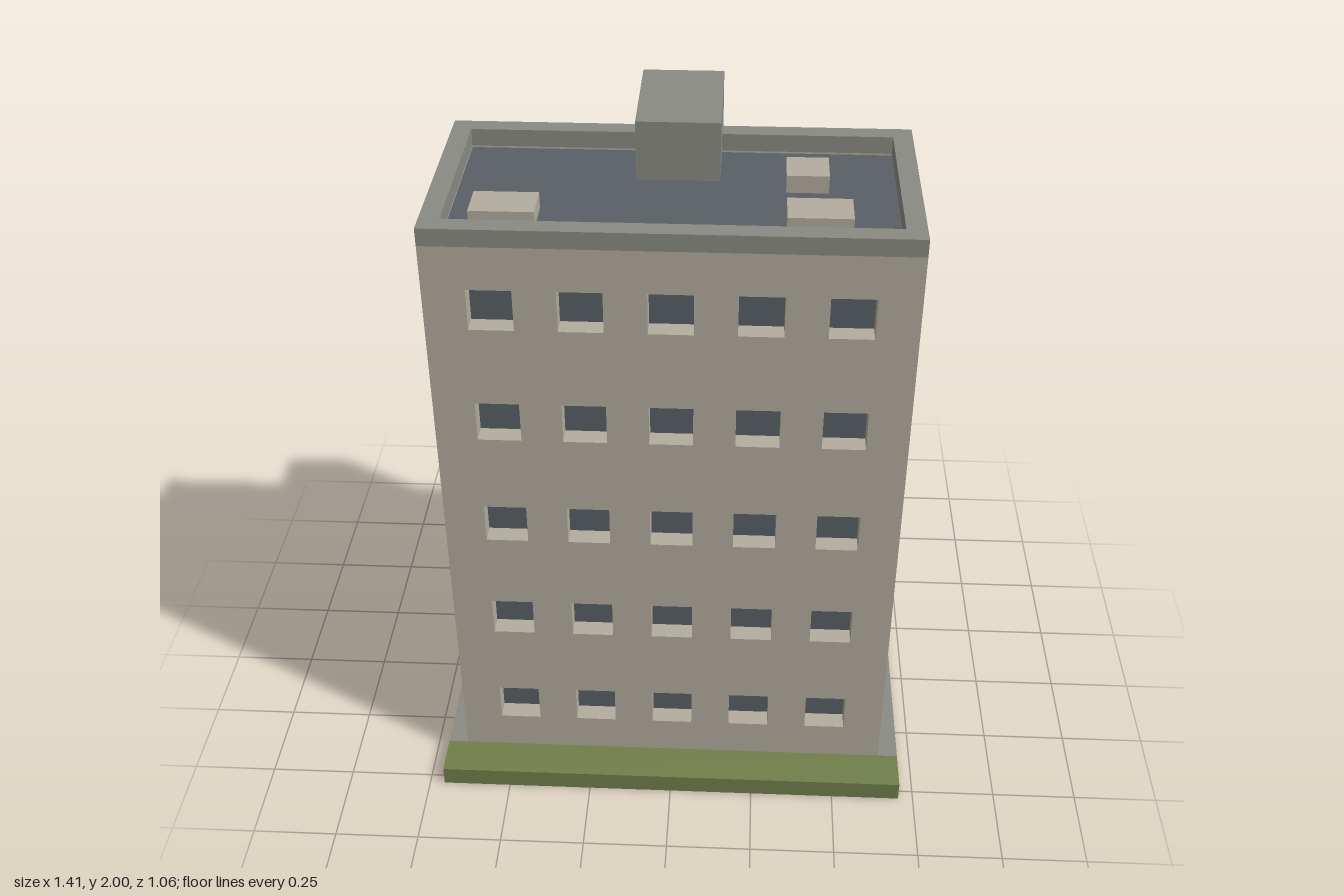
import * as THREE from 'three';

const mat = (name, color) => {
  const m = new THREE.MeshStandardMaterial({ color });
  m.name = name;
  return m;
};

export function createModel() {
  const plaster = mat('plaster', 0xb3ad9e);
  const concrete = mat('concrete', 0x8a8b83);
  const slate = mat('slate', 0x596066);
  const grass = mat('grass', 0x707e49);
  const soot = mat('soot', 0x222222);
  const model = new THREE.Group();

  // Box given by its min and max on each axis
  function box(name, material, x0, x1, y0, y1, z0, z1, parent = model) {
    const mesh = new THREE.Mesh(new THREE.BoxGeometry(x1 - x0, y1 - y0, z1 - z0), material);
    mesh.name = name;
    mesh.position.set((x0 + x1) / 2, (y0 + y1) / 2, (z0 + z1) / 2);
    parent.add(mesh);
    return mesh;
  }

  // Upright panel with rectangular holes [x0, x1, y0, y1]; its outer face lies at distance dist
  function wall(name, material, x0, x1, y0, y1, holes, dist, angle, depth) {
    const rect = (P, a, b, c, d) => {
      const p = new P();
      p.moveTo(a, c); p.lineTo(b, c); p.lineTo(b, d); p.lineTo(a, d); p.closePath();
      return p;
    };
    const shape = rect(THREE.Shape, x0, x1, y0, y1);
    for (const h of holes) shape.holes.push(rect(THREE.Path, ...h));
    const geo = new THREE.ExtrudeGeometry(shape, { depth, bevelEnabled: false });
    geo.translate(0, 0, dist - depth);
    geo.rotateY(angle);
    const mesh = new THREE.Mesh(geo, material);
    mesh.name = name;
    model.add(mesh);
  }

  const W = 0.645, FRONT = 0.41, BACK = -0.237, T = 0.055;
  const GROUND = 0.06, EAVE = 1.835, TOP = 1.885, STEP = 0.3525, H = 0.06;
  const floors = [0, 1, 2, 3, 4];
  const sillY = f => 0.18 + f * STEP;

  // Ground slab: paving with a grass strip in front
  box('paving', concrete, -0.705, 0.705, 0, GROUND, -0.53, FRONT);
  box('lawn', grass, -0.705, 0.705, 0, GROUND, FRONT, 0.53);

  // Dark core: seen as glass through the openings and as the flat roof
  box('glassAndRoof', slate, -W + T, W - T, GROUND, 1.83, BACK + T, FRONT - T);

  // Facades with recessed windows
  const windows = (centres, floorList = floors) => floorList.flatMap(f =>
    centres.map(c => [c - H, c + H, sillY(f), sillY(f) + 0.12]));
  wall('frontWall', plaster, -W, W, GROUND, EAVE,
    windows([-0.47, -0.235, 0, 0.235, 0.47]), FRONT, 0, T);
  wall('rightWall', plaster, -FRONT + T, -BACK - T, GROUND, EAVE,
    windows([-0.237, 0.058]), W, Math.PI / 2, T);
  wall('leftWall', plaster, BACK + T, FRONT - T, GROUND, EAVE,
    windows([0.237, -0.058]), W, -Math.PI / 2, T);
  // Back: windows on the ground floor, balcony doors above
  const backX = [-0.47, -0.235, 0.235, 0.47];
  const doors = floors.slice(1).flatMap(f =>
    backX.map(c => [c - H, c + H, sillY(f) - 0.13, sillY(f) + 0.12]));
  wall('backWall', plaster, -W, W, GROUND, EAVE,
    [...windows(backX, [0]), ...doors], -BACK, Math.PI, T);

  // Roof parapet
  box('parapetFront', concrete, -W, W, EAVE, TOP, FRONT - T, FRONT);
  box('parapetBack', concrete, -W, W, EAVE, TOP, BACK, BACK + T);
  for (const s of [-1, 1]) {
    const x = s * (W - T / 2);
    box('parapetSide', concrete, x - T / 2, x + T / 2, EAVE, TOP, BACK + T, FRONT - T);
  }

  // Roof units
  box('roofUnit', plaster, -0.53, -0.357, 1.83, 1.875, 0.177, 0.29);
  box('roofUnit', plaster, 0.293, 0.465, 1.83, 1.875, 0.177, 0.29);
  box('roofUnit', plaster, 0.293, 0.408, 1.83, 1.88, -0.055, 0.06);

  // Stair tower with its windows, entrance and canopy
  const TB = -0.353, TW = 0.115;
  box('towerShaft', concrete, -TW, TW, GROUND, 2, TB + T, BACK);
  box('towerHead', concrete, -TW, TW, 1.83, 2, BACK, 0);
  const towerHoles = floors.slice(1).map(f => [-H, H, sillY(f) - 0.03, sillY(f) + 0.15]);
  wall('towerFace', concrete, -TW, TW, GROUND, 2,
    [[-H, H, GROUND + 0.001, 0.3], ...towerHoles], -TB, Math.PI, T);
  box('towerGlass', slate, -H, H, GROUND, 1.75, TB + T - 0.004, TB + T);
  box('canopy', concrete, -0.175, 0.175, 0.298, 0.355, -0.47, TB);

  // Balcony: slab, rail and two end walls; side = -1 or 1
  function balcony(side, y, burnt) {
    const g = new THREE.Group();
    g.name = burnt ? 'burntBalcony' : 'balcony';
    const edge = burnt ? slate : concrete, mid = burnt ? soot : concrete;
    const part = (name, m, a, b, y0, y1, z0, z1) =>
      box(name, m, Math.min(side * a, side * b), Math.max(side * a, side * b), y0, y1, z0, z1, g);
    const inner = burnt ? 0.235 : 0.175, top = y + 0.113, floorY = y + 0.04;
    part('balconyFloor', mid, 0.175, W - T, y, floorY, TB + T, BACK);
    part('balconyRail', mid, inner, W - T, y, top, TB, TB + T);
    if (burnt) part('balconyRailEnd', edge, 0.175, inner, y, top, TB, TB + T);
    part('balconyInnerEnd', edge, TW, 0.175, y, top, TB, BACK);
    part('balconyOuterEnd', edge, W - T, W, y, top, TB, BACK);
    model.add(g);
  }
  for (const f of [0, 1, 2, 3]) {
    const y = 0.36 + f * STEP;
    balcony(1, y, false);
    balcony(-1, y, f === 1);
  }

  // Fire damage: blackened wall, door lining and smoke stain above
  const y0 = 0.753, y1 = 1.065, dTop = sillY(2) - STEP + 0.12;
  wall('sootWall', soot, 0.295, 0.59, y0, y1, [[0.41, 0.53, y0 + 0.001, dTop]],
    -BACK + 0.004, Math.PI, 0.004);
  wall('sootWallHead', soot, 0.41, 0.53, dTop, y1, [], -BACK + 0.005, Math.PI, 0.004);
  box('burntDoor', soot, -0.53, -0.41, y0, sillY(2) + 0.12, BACK + T - 0.005, BACK + T);
  for (const x of [-0.53, -0.414]) {
    box('burntReveal', soot, x, x + 0.004, y0, sillY(2) + 0.12, BACK, BACK + T);
  }
  box('smokeStain', slate, -0.41, -0.295, y1, 1.32, BACK - 0.004, BACK);

  return model;
}
